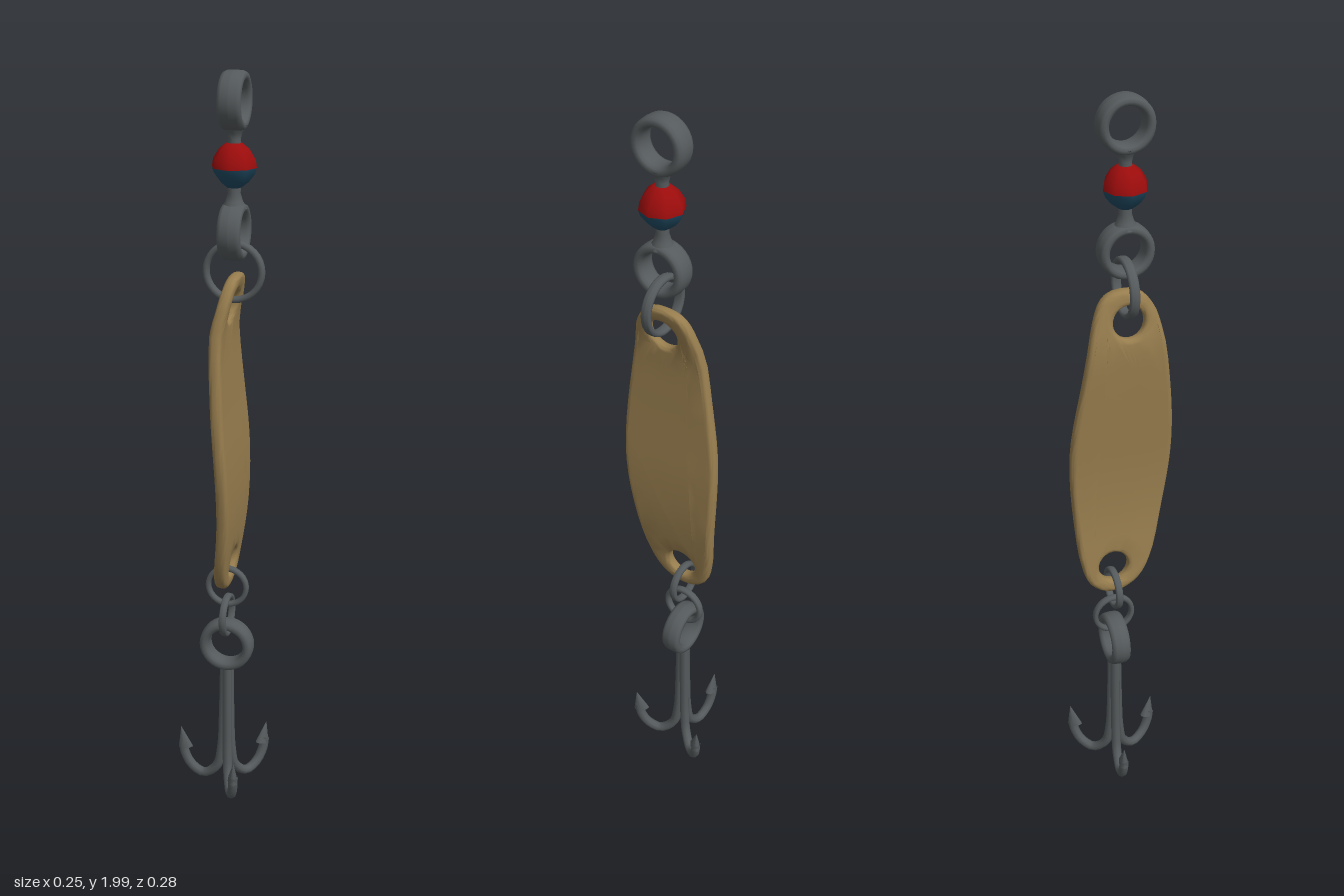
import * as THREE from 'three';
import { mergeVertices, toCreasedNormals } from 'three/addons/utils/BufferGeometryUtils.js';

const mat = (name, color) => new THREE.MeshStandardMaterial({ name, color });

// Closed band with a rounded-rectangle section, lying around its own y axis
function bandGeometry(R, t, w) {
  const pts = [];
  for (let i = 0; i <= 12; i++) {
    const a = (i / 12) * Math.PI * 2, c = Math.cos(a), s = Math.sin(a);
    pts.push(new THREE.Vector2(
      R + t * Math.sign(c) * Math.abs(c) ** 0.7,
      w * Math.sign(s) * Math.abs(s) ** 0.7));
  }
  return new THREE.LatheGeometry(pts, 32);
}

// Split every edge longer than max so that a flat plate can be bent
function subdivide(geometry, max) {
  const src = geometry.index ? geometry.toNonIndexed() : geometry;
  const p = src.attributes.position, out = [], stack = [];
  const v = (i) => new THREE.Vector3().fromBufferAttribute(p, i);
  for (let i = 0; i < p.count; i += 3) stack.push([v(i), v(i + 1), v(i + 2)]);
  while (stack.length) {
    const t = stack.pop();
    const d = [0, 1, 2].map((k) => t[k].distanceTo(t[(k + 1) % 3]));
    const k = d.indexOf(Math.max(...d));
    if (d[k] <= max) { t.forEach((q) => out.push(q.x, q.y, q.z)); continue; }
    const a = t[k], b = t[(k + 1) % 3], c = t[(k + 2) % 3];
    const m = a.clone().add(b).multiplyScalar(0.5);
    stack.push([a, m, c], [m, b, c]);
  }
  const g = new THREE.BufferGeometry();
  g.setAttribute('position', new THREE.Float32BufferAttribute(out, 3));
  return g;
}

// Long oval plate with two holes, bent into a shallow S
function spoonGeometry() {
  const outline = [
    [-0.058, 1.505], [-0.095, 1.466], [-0.116, 1.397], [-0.138, 1.238], [-0.147, 1.106],
    [-0.143, 1.0], [-0.122, 0.868], [-0.09, 0.735], [-0.053, 0.667], [-0.005, 0.637],
    [0.048, 0.637], [0.09, 0.667], [0.111, 0.735], [0.122, 0.841], [0.131, 1.0],
    [0.127, 1.106], [0.1, 1.265], [0.069, 1.423], [0.042, 1.487], [0.01, 1.508],
  ].map(([x, y]) => new THREE.Vector3(x, y, 0));
  const loop = new THREE.CatmullRomCurve3(outline, true).getPoints(64).slice(0, -1);
  const shape = new THREE.Shape(loop.map((q) => new THREE.Vector2(q.x, q.y)));
  for (const [x, y] of [[-0.027, 1.43], [0.021, 0.71]]) {
    shape.holes.push(new THREE.Path().absarc(x, y, 0.042, 0, Math.PI * 2, true));
  }
  const flat = new THREE.ExtrudeGeometry(shape, {
    depth: 0.01, bevelThickness: 0.011, bevelSize: 0.012, bevelOffset: -0.012,
    bevelSegments: 3, curveSegments: 12,
  });
  flat.translate(0, 0, -0.005).rotateY(Math.PI / 2);
  const g = subdivide(flat, 0.07);
  const bend = new THREE.SplineCurve([
    [0.012, 0.63], [0.02, 0.7], [0.038, 0.85], [0.04, 1.0], [0.027, 1.2],
    [0.02, 1.36], [0.033, 1.43], [0.052, 1.52],
  ].map(([x, y]) => new THREE.Vector2(x, y))).getPoints(140);
  const p = g.attributes.position;
  for (let i = 0; i < p.count; i++) {
    const y = p.getY(i);
    let k = 1;
    while (k < bend.length - 1 && bend[k].y < y) k++;
    const a = bend[k - 1], b = bend[k];
    p.setX(i, p.getX(i) + a.x + (b.x - a.x) * (y - a.y) / (b.y - a.y));
  }
  return toCreasedNormals(mergeVertices(g, 1e-5), 0.7);
}

export function createModel() {
  const model = new THREE.Group();
  model.name = 'fishingLure';
  const steel = mat('dark steel', 0x555a5c);
  const brass = mat('brass', 0x977d4e);
  const red = mat('red paint', 0x9c0c0c);
  const blue = mat('blue paint', 0x1f4a62);

  const add = (parent, name, geometry, material, x = 0, y = 0, z = 0) => {
    const m = new THREE.Mesh(geometry, material);
    m.name = name;
    m.position.set(x, y, z);
    parent.add(m);
    return m;
  };
  const lathe = (pts, n) =>
    new THREE.LatheGeometry(pts.map(([r, y]) => new THREE.Vector2(r, y)), n);
  // axis: the direction the ring's opening faces
  const ring = (name, axis, R, t, w, x, y, z) => {
    const m = add(model, name, bandGeometry(R, t, w), steel, x, y, z);
    if (axis === 'x') m.rotation.z = Math.PI / 2;
    else m.rotation.x = Math.PI / 2;
  };

  // Swivel: two eyes, necks and a two-tone bead
  const sx = 0.045, sz = 0.024;
  ring('swivelTopEye', 'x', 0.058, 0.013, 0.03, sx, 1.929, sz);
  ring('swivelBottomEye', 'x', 0.058, 0.013, 0.03, sx, 1.616, sz);
  add(model, 'swivelTopNeck',
    lathe([[0.018, 1.81], [0.016, 1.84], [0.02, 1.855], [0.032, 1.873]], 12), steel, sx, 0, sz);
  add(model, 'swivelBottomNeck',
    lathe([[0.032, 1.673], [0.022, 1.69], [0.016, 1.71], [0.018, 1.745]], 12), steel, sx, 0, sz);
  add(model, 'beadTop',
    lathe([[0.056, 1.772], [0.053, 1.792], [0.038, 1.816], [0.02, 1.83], [0, 1.832]], 8), red, sx, 0, sz);
  add(model, 'beadBottom',
    lathe([[0, 1.722], [0.018, 1.724], [0.036, 1.738], [0.051, 1.757], [0.056, 1.772]], 8), blue, sx, 0, sz);

  // Split rings and plate
  ring('upperSplitRing', 'z', 0.071, 0.008, 0.013, 0.045, 1.516, sz);
  add(model, 'spoonPlate', spoonGeometry(), brass);
  ring('lowerSplitRing', 'z', 0.053, 0.007, 0.01, 0.019, 0.632, -0.02);
  ring('hookLinkRing', 'x', 0.053, 0.007, 0.01, 0.019, 0.545, -0.02);

  // Treble hook: an eye and three barbed prongs
  const hx = 0.019, hz = -0.018;
  ring('hookEye', 'z', 0.061, 0.014, 0.027, hx, 0.457, hz);
  const path = new THREE.CatmullRomCurve3([
    [0.007, 0.405], [0.01, 0.25], [0.016, 0.12], [0.03, 0.058], [0.07, 0.025],
    [0.108, 0.042], [0.13, 0.08], [0.135, 0.115],
  ].map(([r, y]) => new THREE.Vector3(r, y, 0)));
  const wire = new THREE.TubeGeometry(path, 32, 0.0135, 8);
  const barb = new THREE.ConeGeometry(0.023, 0.065, 8).scale(1, 1, 0.6);
  [188, -50, 68].forEach((deg, i) => {
    const prong = new THREE.Group();
    prong.name = 'hookProng' + (i + 1);
    prong.position.set(hx, 0, hz);
    prong.rotation.y = -THREE.MathUtils.degToRad(deg);
    add(prong, 'wire', wire, steel);
    add(prong, 'barb', barb, steel, 0.134, 0.129, 0).rotation.z = -0.22;
    model.add(prong);
  });
  return model;
}
